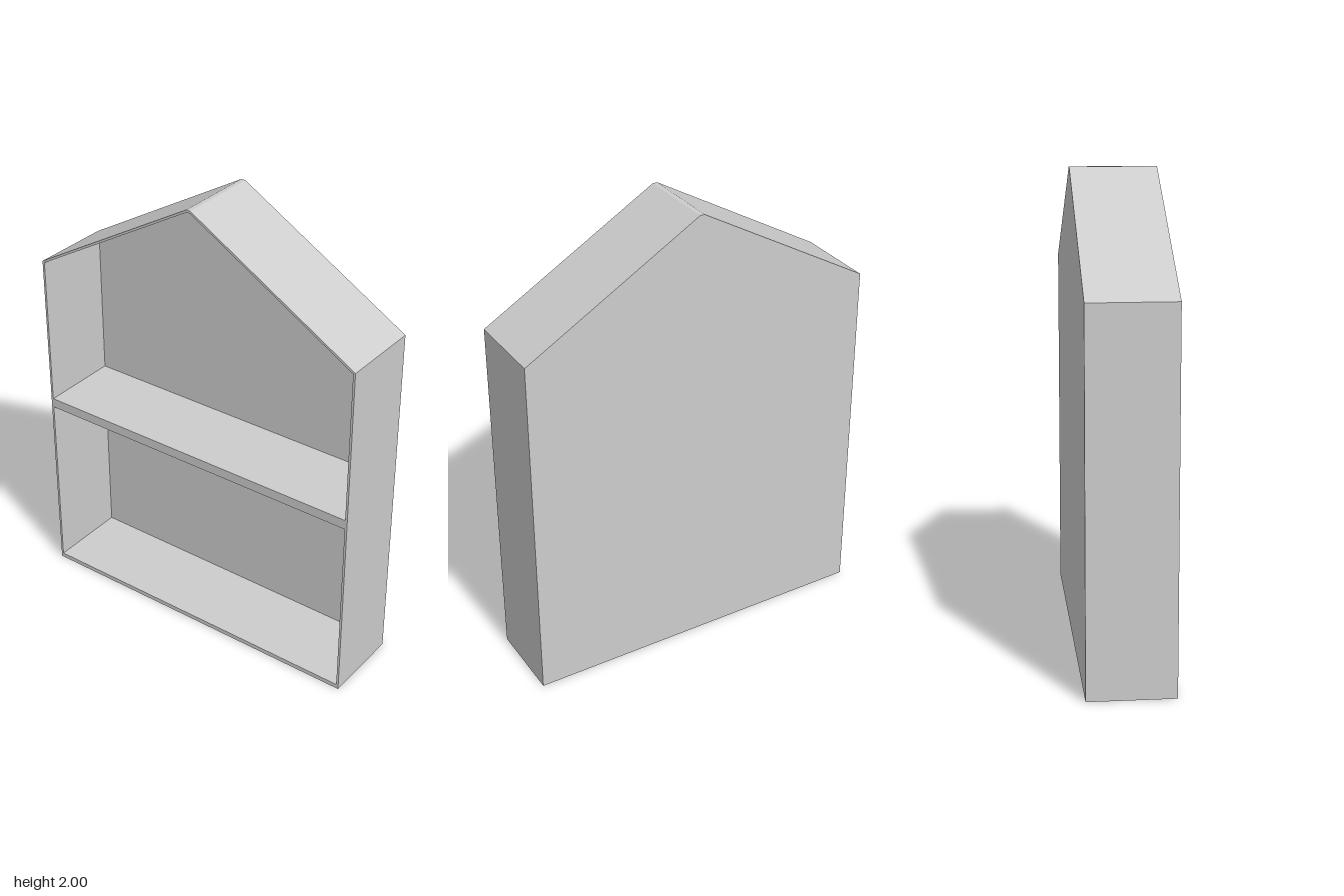
import * as THREE from 'three';

const DEPTH = 0.36, BACK = 0.005;

// Closed outline mirrored from the points of its right half
const mirrored = (half) => [...half, ...half.map(([x, y]) => [-x, y]).reverse()]
  .map(([x, y]) => new THREE.Vector2(x, y));

function extrude(shape, depth, z, material, name) {
  const geometry = new THREE.ExtrudeGeometry(shape, { depth, bevelEnabled: false });
  const mesh = new THREE.Mesh(geometry, material);
  mesh.position.z = z;
  mesh.name = name;
  return mesh;
}

export function createModel() {
  const group = new THREE.Group();
  group.name = 'houseShelf';

  const paint = new THREE.MeshStandardMaterial({ color: 0xcccccc });
  paint.name = 'light grey';

  const outline = mirrored([[0.775, 0], [0.775, 1.555], [0.01, 2]]);

  // Walls, pitched roof, floor and middle shelf as one open frame
  const frame = new THREE.Shape(outline);
  frame.holes.push(
    new THREE.Path(mirrored([[0.765, 0.02], [0.765, 0.835]])),
    new THREE.Path(mirrored([[0.765, 0.878], [0.765, 1.549], [0.008, 1.99]])),
  );
  group.add(extrude(frame, DEPTH - BACK, -DEPTH / 2 + BACK, paint, 'frameAndShelf'));

  // Thin panel closing the back
  group.add(extrude(new THREE.Shape(outline), BACK, -DEPTH / 2, paint, 'backPanel'));

  return group;
}
